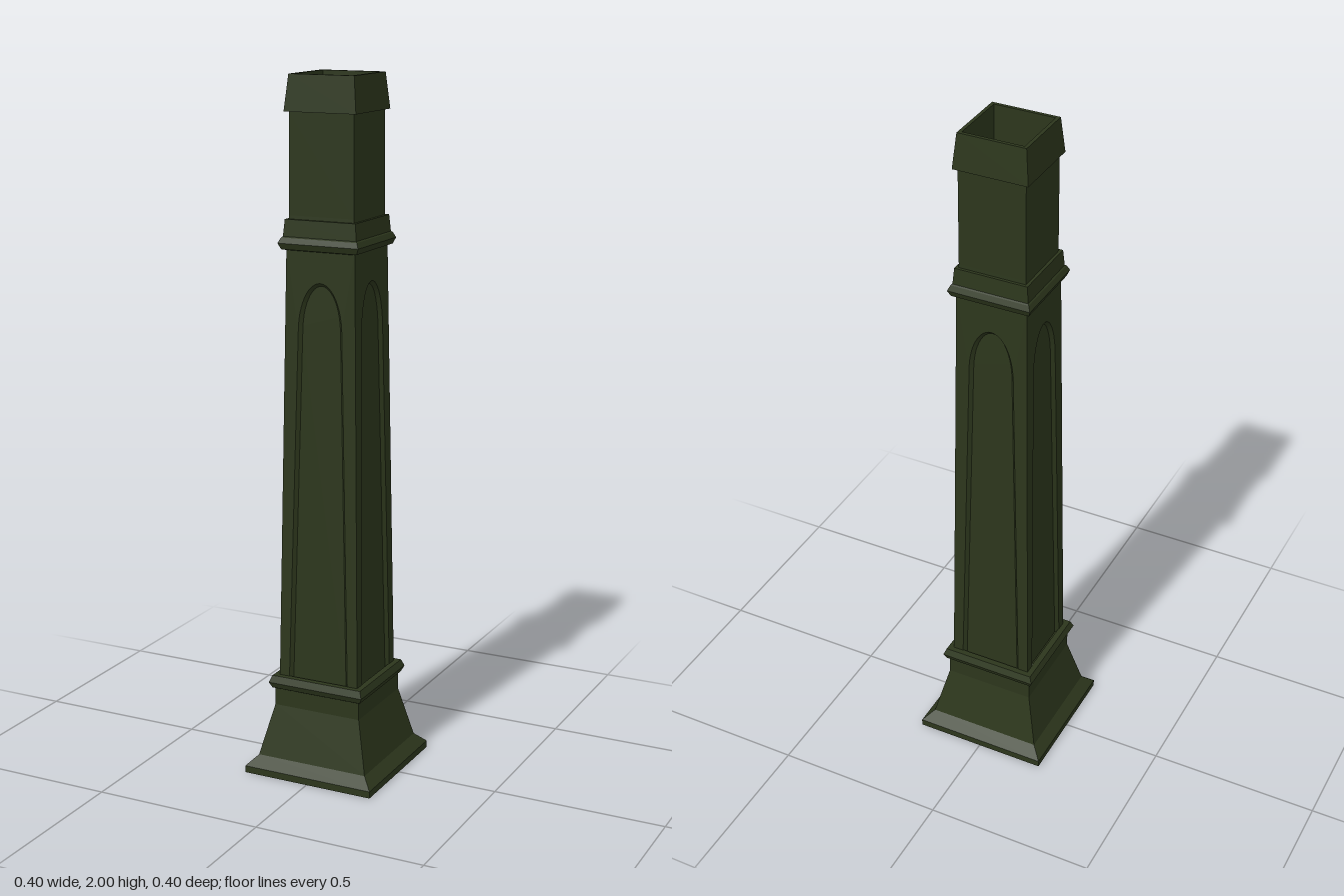
import * as THREE from 'three';

const material = new THREE.MeshStandardMaterial({ color: 0x2c361c, flatShading: true, side: THREE.DoubleSide });

// Square shell from a profile of [half width, height] points
function squareShell(name, profile) {
  const points = profile.map(([h, y]) => new THREE.Vector2(h * Math.SQRT2, y));
  const mesh = new THREE.Mesh(new THREE.LatheGeometry(points, 4, Math.PI / 4).toNonIndexed(), material);
  mesh.geometry.computeVertexNormals();
  mesh.name = name;
  return mesh;
}

const Y0 = 0.28, Y1 = 1.535, SPRING = 1.3;
const shaftHalf = (y) => THREE.MathUtils.mapLinear(y, Y0, Y1, 0.124, 0.104);

// Arch outline, tapering upward, inset from the opening edge
function archPoints(inset) {
  const points = [new THREE.Vector2(-0.093 + inset, Y0)];
  for (let i = 0; i <= 24; i++) {
    const a = Math.PI * (1 - i / 24);
    points.push(new THREE.Vector2(Math.cos(a) * (0.067 - inset), SPRING + Math.sin(a) * (0.14 - inset)));
  }
  points.push(new THREE.Vector2(0.093 - inset, Y0));
  return points;
}

// Flat shape laid on the leaning shaft face at a given depth
function faceShape(name, points, depth) {
  const geometry = new THREE.ShapeGeometry(new THREE.Shape(points));
  const p = geometry.attributes.position;
  for (let i = 0; i < p.count; i++) p.setZ(i, shaftHalf(p.getY(i)) - depth);
  geometry.computeVertexNormals();
  const mesh = new THREE.Mesh(geometry, material);
  mesh.name = name;
  return mesh;
}

// Sloping edge between the face and the recessed panel
function panelBevel(outer, inner, depth) {
  const positions = [], index = [];
  outer.forEach((o, i) => {
    const n = inner[i];
    positions.push(o.x, o.y, shaftHalf(o.y), n.x, n.y, shaftHalf(n.y) - depth);
    if (i) {
      const a = 2 * i - 2;
      index.push(a, a + 1, a + 2, a + 1, a + 3, a + 2);
    }
  });
  const geometry = new THREE.BufferGeometry();
  geometry.setAttribute('position', new THREE.Float32BufferAttribute(positions, 3));
  geometry.setIndex(index);
  geometry.computeVertexNormals();
  const mesh = new THREE.Mesh(geometry, material);
  mesh.name = 'panelBevel';
  return mesh;
}

export function createModel() {
  const column = new THREE.Group();
  column.name = 'column';

  // Flared foot with the lower moulding
  column.add(squareShell('base', [
    [0.2, 0], [0.2, 0.02], [0.17, 0.05], [0.134, 0.2], [0.134, 0.25],
    [0.14, 0.253], [0.148, 0.27], [0.14, 0.29], [0.122, 0.29],
  ]));

  // Tapered shaft: four faces, each with an arched recessed panel
  const depth = 0.01, outer = archPoints(0), inner = archPoints(0.009);
  const frame = [
    ...outer,
    new THREE.Vector2(shaftHalf(Y0), Y0), new THREE.Vector2(shaftHalf(Y1), Y1),
    new THREE.Vector2(-shaftHalf(Y1), Y1), new THREE.Vector2(-shaftHalf(Y0), Y0),
  ];
  for (let i = 0; i < 4; i++) {
    const side = new THREE.Group();
    side.name = 'shaftSide';
    side.add(
      faceShape('shaftFace', frame, 0),
      faceShape('archedPanel', inner, depth),
      panelBevel(outer, inner, depth),
    );
    side.rotation.y = i * Math.PI / 2;
    column.add(side);
  }

  // Upper moulding
  column.add(squareShell('upperMoulding', [
    [0.104, 1.525], [0.115, 1.528], [0.122, 1.545], [0.115, 1.56],
    [0.111, 1.563], [0.107, 1.61], [0.098, 1.61],
  ]));

  // Plain neck
  column.add(squareShell('neck', [[0.102, 1.53], [0.098, 1.62], [0.097, 1.9]]));

  // Sloping cap with an open, lipped top
  column.add(squareShell('cap', [
    [0.097, 1.9], [0.108, 1.9], [0.098, 2], [0.088, 2], [0.088, 1.9],
  ]));

  return column;
}
